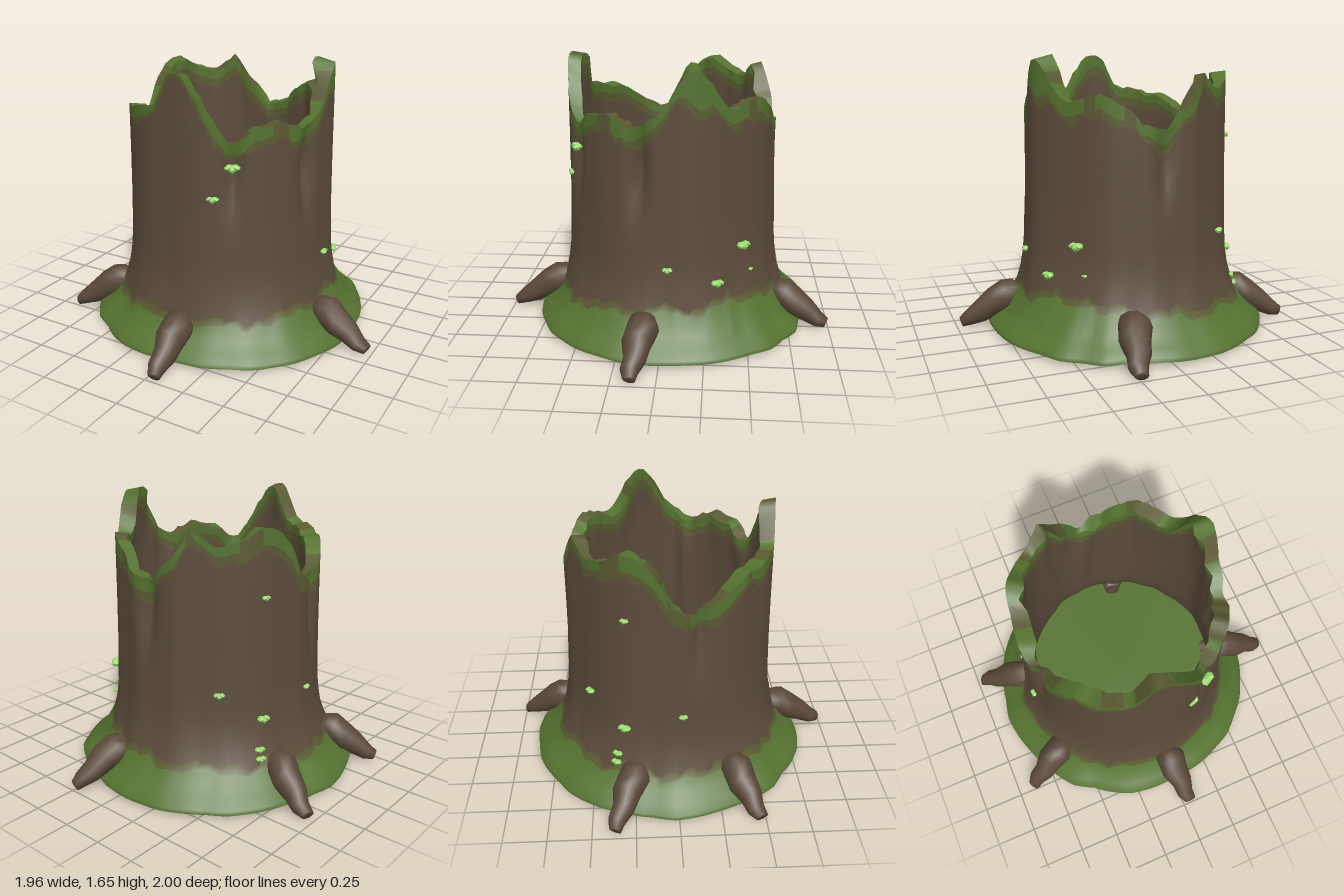
import * as THREE from 'three';

const N = 120, CX = -0.03, CZ = -0.025;
const material = (name, color) => Object.assign(new THREE.MeshStandardMaterial({ color }), { name });

// repeatable noise, one value per column
const hash = (c, seed) => {
  const v = Math.sin((((c % N) + N) % N) * 12.9898 + seed * 78.233) * 43758.5453;
  return v - Math.floor(v);
};
const noise = (c, seed, step) => {
  const i = Math.floor(c / step), f = c / step - i;
  return THREE.MathUtils.lerp(hash((i * step) % N, seed), hash(((i + 1) * step) % N, seed), f);
};

// piecewise linear lookup over [key, value] pairs
function lookup(table, k) {
  let i = 1;
  while (i < table.length - 1 && table[i][0] < k) i++;
  const [k0, v0] = table[i - 1], [k1, v1] = table[i];
  return THREE.MathUtils.lerp(v0, v1, THREE.MathUtils.clamp((k - k0) / (k1 - k0), 0, 1));
}

// height of the broken rim by angle in degrees (0 = +x, 90 = front)
const RIM = [[0, 1.44], [4, 1.4], [11, 1.34], [17, 1.31], [33, 1.38], [48, 1.36], [57, 1.29], [63, 1.28], [68, 1.36],
  [75, 1.47], [82, 1.58], [87, 1.64], [95, 1.64], [99, 1.57], [106, 1.43], [116, 1.43], [127, 1.4], [137, 1.4],
  [149, 1.33], [160, 1.25], [172, 1.21], [180, 1.27], [188, 1.43], [197, 1.54], [209, 1.56], [218, 1.49],
  [231, 1.46], [243, 1.56], [253, 1.4], [268, 1.25], [281, 1.29], [290, 1.38], [302, 1.46], [315, 1.42],
  [322, 1.4], [329, 1.45], [335, 1.54], [340, 1.61], [346, 1.64], [351, 1.6], [356, 1.52], [360, 1.44]];
const PROFILE = [[0.035, 0.85], [0.06, 0.85], [0.1, 0.8], [0.15, 0.745], [0.2, 0.705], [0.28, 0.67],
  [0.38, 0.645], [0.5, 0.628], [0.8, 0.618], [1.1, 0.614], [1.7, 0.61]];
// angle, depth, middle height of the deep bark grooves
const GROOVES = [[15, 0.08, 1.08], [60, 0.06, 1.1], [165, 0.06, 1.1], [269, 0.06, 1.1]];

const deg = c => (c % N) * 360 / N;
const bump = (a, centre, width) => {
  const d = Math.abs(((a - centre + 540) % 360) - 180);
  return Math.exp(-((d / width) ** 2));
};
const rimHeight = c => lookup(RIM, deg(c)) + (hash(c, 3) - 0.5) * 0.02;
const polar = (c, r, y) => {
  const a = deg(c) * Math.PI / 180;
  return [CX + r * Math.cos(a), y, CZ + r * Math.sin(a)];
};

function outerRadius(c, y) {
  const a = deg(c), rise = THREE.MathUtils.smoothstep(y, 0.1, 0.4);
  let r = lookup(PROFILE, y) + (noise(c, 1, 4) - 0.5) * 0.03 * rise;
  r += (noise(c, 2, 3) - 0.5) * 0.03 * (1 - rise);
  for (const [ga, depth, gy] of GROOVES) r -= depth * bump(a, ga, 4.5) * Math.exp(-(((y - gy) / 0.22) ** 2));
  return r;
}

// closed ring of quads; strip(row, column) picks the material index
function ringMesh(name, rows, point, strip, mats) {
  const pos = [], buckets = mats.map(() => []);
  for (let r = 0; r < rows; r++) for (let c = 0; c < N; c++) pos.push(...point(r, c));
  for (let r = 0; r < rows - 1; r++) for (let c = 0; c < N; c++) {
    const a = r * N + c, b = r * N + (c + 1) % N;
    buckets[strip(r, c)].push(a, a + N, b, b, a + N, b + N);
  }
  const geo = new THREE.BufferGeometry();
  geo.setAttribute('position', new THREE.Float32BufferAttribute(pos, 3));
  geo.setIndex(buckets.flat());
  let start = 0;
  buckets.forEach((b, i) => { geo.addGroup(start, b.length, i); start += b.length; });
  geo.computeVertexNormals();
  const mesh = new THREE.Mesh(geo, mats);
  mesh.name = name;
  return mesh;
}

// tapering root lofted from elliptical sections: [distance 0-1, height, half width, half depth]
function rootMesh(start, end, mat) {
  const sections = [[-0.25, 0.2, 0.05, 0.04], [0, 0.215, 0.08, 0.075], [0.18, 0.2, 0.095, 0.09], [0.42, 0.155, 0.088, 0.08],
    [0.65, 0.105, 0.068, 0.065], [0.85, 0.064, 0.054, 0.046], [1, 0.04, 0.038, 0.028]];
  const S = 10, pos = [], idx = [];
  const dir = new THREE.Vector2(end[0] - start[0], end[1] - start[1]), len = dir.length();
  dir.normalize();
  sections.forEach(([t, y, w, h], i) => {
    const sway = (i % 2 ? 1 : -1) * 0.006;
    for (let s = 0; s < S; s++) {
      const a = s / S * Math.PI * 2, side = Math.cos(a) * w + sway, up = Math.sin(a) * h;
      const along = t * len + up * 0.4;
      pos.push(start[0] + dir.x * along - dir.y * side, y + up, start[1] + dir.y * along + dir.x * side);
      const p = i * S + s, q = i * S + (s + 1) % S;
      if (i < sections.length - 1) idx.push(p, p + S, q, q, p + S, q + S);
    }
  });
  // tip cap
  const last = (sections.length - 1) * S;
  for (let s = 1; s < S - 1; s++) idx.push(last, last + s + 1, last + s);
  const geo = new THREE.BufferGeometry();
  geo.setAttribute('position', new THREE.Float32BufferAttribute(pos, 3));
  geo.setIndex(idx);
  geo.computeVertexNormals();
  return new THREE.Mesh(geo, mat);
}

export function createModel() {
  const model = new THREE.Group();
  model.name = 'treeStump';
  const bark = material('bark', 0x5c4c3b), moss = material('moss', 0x557230);
  const fringe = material('mossyBark', 0x5a5a33), rootBark = material('rootBark', 0x5a4839);
  const leaf = material('leaf', 0x98de6c);
  rootBark.side = THREE.DoubleSide;
  const mats = [moss, fringe, bark];

  // outer bark with moss at the foot and a ragged mossy rim
  const mossTop = c => 0.18 + 0.05 * noise(c, 5, 2) + 0.08 * bump(deg(c), 335, 55) * (0.5 + hash(c >> 1, 6));
  const rimMoss = c => (0.035 + 0.06 * noise(c, 7, 3) + 0.12 * bump(deg(c), 344, 7)) * (1 - 0.75 * bump(deg(c), 90, 18));
  const foot = [0.035, 0.06, 0.1, 0.15], STEPS = 10;
  const outerRow = (r, c) => {
    if (r < 4) return foot[r] + (r < 2 ? (noise(c, 8, 4) - 0.5) * 0.015 : 0);
    if (r === 4) return mossTop(c);
    const low = mossTop(c) + 0.02 + 0.035 * hash(c, 9), top = rimHeight(c), m = rimMoss(c);
    const high = top - m - 0.012 - 0.05 * hash(c >> 1, 10) * (1 - 0.7 * bump(deg(c), 90, 18));
    if (r <= 5 + STEPS) return THREE.MathUtils.lerp(low, high, (r - 5) / STEPS);
    return r === 6 + STEPS ? top - m : top;
  };
  const outerPoint = (r, c) => {
    const y = outerRow(r, c);
    return polar(c, outerRadius(c, y), y);
  };
  const OUT = STEPS + 8;
  model.add(ringMesh('outerBark', OUT, outerPoint, (r, c) => {
    if (r < 4) return 0;
    if (r === OUT - 2) return noise(c, 14, 3) > 0.2 ? 0 : 1;
    return r === 4 || r === OUT - 3 ? 1 : 2;
  }, mats));

  // broken rim top, leaning inwards at the tall splinter
  const innerTop = c => rimHeight(c) - 0.012 + 0.05 * bump(deg(c), 342, 6);
  const innerRim = c => 0.56 - 0.05 * noise(c, 11, 2) - 0.04 * bump(deg(c), 343, 12) - 0.02 * bump(deg(c), 190, 9);
  model.add(ringMesh('rimTop', 2,
    (r, c) => (r ? polar(c, innerRim(c), innerTop(c)) : outerPoint(OUT - 1, c)),
    (r, c) => (noise(c, 12, 3) > 0.45 ? 0 : 1), mats));

  // hollow inside wall, an even thickness behind the bark
  const drops = [0, 0.04, 0.08, 0.25, 0.5, 0.7, 0.8, 0.88, 0.95, 1];
  model.add(ringMesh('innerWall', drops.length, (r, c) => {
    const t = drops[r], y = THREE.MathUtils.lerp(innerTop(c), 0.095, t);
    return polar(c, THREE.MathUtils.lerp(innerRim(c), outerRadius(c, y) - 0.06, Math.min(1, t * 5)), y);
  }, r => (r === 0 ? 0 : r === 1 ? 1 : r < drops.length - 3 ? 2 : 0), mats));

  // mossy floor inside the hollow
  const floor = new THREE.Mesh(new THREE.CircleGeometry(0.75, 48).rotateX(-Math.PI / 2), moss);
  floor.name = 'hollowFloor';
  floor.position.set(CX, 0.1, CZ);
  model.add(floor);

  // underside, following the foot outline
  model.add(ringMesh('underside', 2,
    (r, c) => (r ? outerPoint(0, c) : polar(c, 0, 0.035)), () => 0, mats));

  // roots: start and tip as [x, z]
  const roots = [[[0.015, 0.635], [0.045, 0.985]], [[0.635, 0.09], [0.97, 0.15]], [[0.165, -0.67], [0.25, -0.985]],
    [[-0.64, -0.235], [-0.96, -0.375]], [[-0.6, 0.32], [-0.9, 0.47]]];
  for (const [start, end] of roots) {
    const root = rootMesh(start, end, rootBark);
    root.name = 'root';
    model.add(root);
  }

  // small leaf tufts on the bark: angle, height, size
  const tufts = [[60, 1.14, 0.048], [70, 0.96, 0.04], [359, 0.515, 0.032], [316, 0.61, 0.048], [333, 0.42, 0.042],
    [311, 0.45, 0.018], [175, 0.585, 0.028], [205, 1.18, 0.028], [229, 0.64, 0.034], [206, 0.48, 0.042],
    [209, 0.31, 0.034], [209, 0.26, 0.034]];
  const tuftGeo = new THREE.IcosahedronGeometry(1, 0);
  for (const [a, y, size] of tufts) {
    const tuft = new THREE.Group();
    tuft.name = 'leafTuft';
    for (const side of [-1, 0, 1]) {
      const blob = new THREE.Mesh(tuftGeo, leaf);
      blob.name = 'leaf';
      blob.scale.set(size * 0.6, size * (side ? 0.35 : 0.55), size * 0.55);
      blob.position.set(0, side ? size * 0.15 : -size * 0.05, side * size * 0.45);
      blob.rotation.x = side * 0.4;
      tuft.add(blob);
    }
    tuft.position.set(...polar(a * N / 360, lookup(PROFILE, y) + 0.008, y));
    tuft.rotation.y = -a * Math.PI / 180;
    model.add(tuft);
  }
  return model;
}
